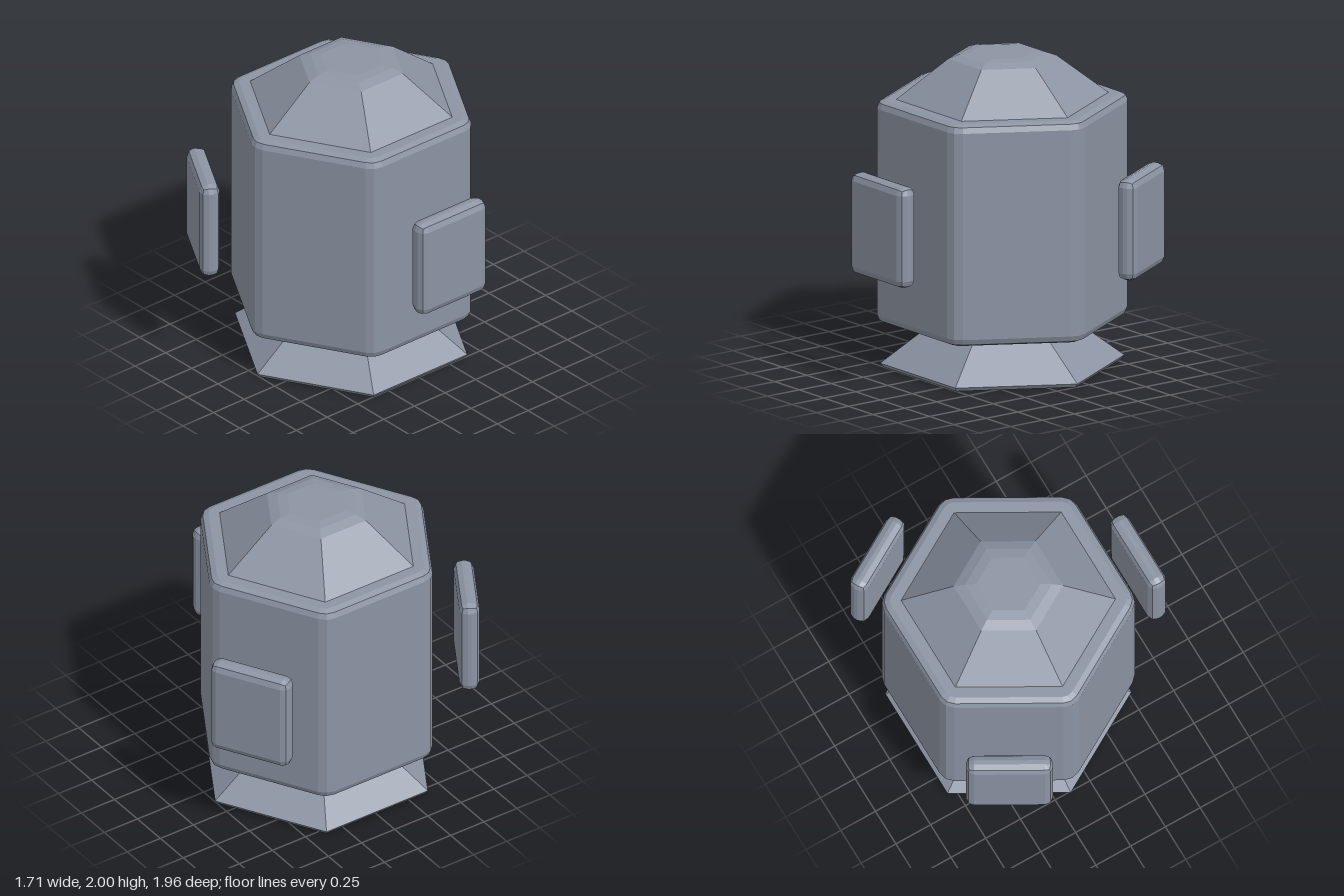
import * as THREE from 'three';
import { RoundedBoxGeometry } from 'three/addons/geometries/RoundedBoxGeometry.js';

const hullGrey = new THREE.MeshStandardMaterial({ color: 0x8c94a3 });
hullGrey.name = 'hullGrey';

// Give every face its own flat normal
function faceted(geometry) {
  const flat = geometry.index ? geometry.toNonIndexed() : geometry;
  flat.computeVertexNormals();
  return flat;
}

function part(name, geometry) {
  const mesh = new THREE.Mesh(faceted(geometry), hullGrey);
  mesh.name = name;
  return mesh;
}

// Six-sided solid from a [radius, y] profile, with corners on the z axis
function hexLathe(profile) {
  return new THREE.LatheGeometry(profile.map(([r, y]) => new THREE.Vector2(r, y)), 6);
}

// Hexagon outline whose corners are arcs of two segments
function roundedHex(apothem, radius) {
  const centre = (apothem - radius) / Math.cos(Math.PI / 6);
  const points = [];
  for (let i = 0; i < 6; i++) {
    const corner = Math.PI / 2 + i * Math.PI / 3;
    for (const turn of [-1, 0, 1]) {
      const a = corner + turn * Math.PI / 6;
      points.push(new THREE.Vector2(
        centre * Math.cos(corner) + radius * Math.cos(a),
        centre * Math.sin(corner) + radius * Math.sin(a)));
    }
  }
  return new THREE.Shape(points);
}

export function createModel() {
  const model = new THREE.Group();
  model.name = 'hexagonalPod';

  const core = new THREE.Group();
  core.name = 'core';
  core.position.x = -0.147;
  model.add(core);

  // Main body with softened edges
  const bevel = 0.05, bottom = 0.29, top = 1.715;
  const body = new THREE.ExtrudeGeometry(roundedHex(0.695 - bevel, 0.12 - bevel), {
    depth: top - bottom - 2 * bevel,
    bevelSize: bevel, bevelThickness: bevel, bevelSegments: 2,
  });
  body.rotateX(-Math.PI / 2).translate(0, bottom + bevel, 0);
  core.add(part('body', body));

  // Sloping cap with a rounded crown
  core.add(part('cap', hexLathe([
    [0.685, 1.7], [0.34, 1.965], [0.27, 1.99], [0.2, 2], [0, 2],
  ])));

  // Flared foot
  core.add(part('foot', hexLathe([
    [0, 0], [0.745, 0], [0.765, 0.025], [0.39, 0.305],
  ])));

  // Three free-standing panels around the body
  for (let i = 0; i < 3; i++) {
    const pivot = new THREE.Group();
    pivot.name = `panelMount${i + 1}`;
    pivot.rotation.y = i * Math.PI * 2 / 3;
    const panel = part('panel', new RoundedBoxGeometry(0.126, 0.65, 0.54, 1, 0.05));
    panel.position.set(0.935, 1.005, 0);
    pivot.add(panel);
    core.add(pivot);
  }

  return model;
}
